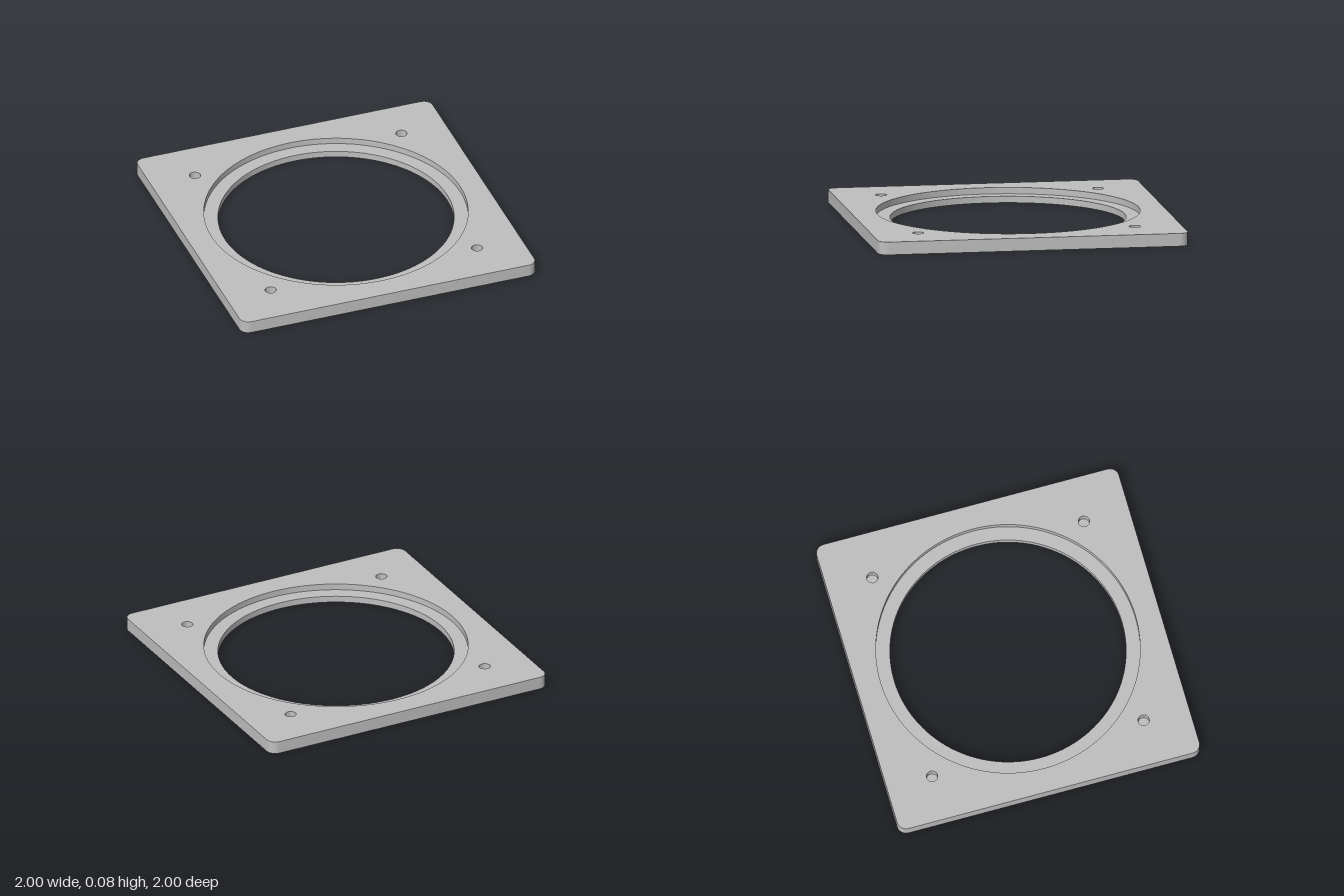
import * as THREE from 'three';
import { toCreasedNormals } from 'three/addons/utils/BufferGeometryUtils.js';

const HALF = 1, CORNER = 0.06, TOP = 0.083, LEDGE = 0.042;
const BORE = 0.752, RECESS = 0.842;
const SCREW = { radius: 0.036, offset: 0.7, floor: 0.03 };

// Points of an arc, as Vector2s
function arc(cx, cy, r, start, sweep, n) {
  return Array.from({ length: n }, (_, i) => {
    const a = start + (sweep * i) / n;
    return new THREE.Vector2(cx + r * Math.cos(a), cy + r * Math.sin(a));
  });
}
const circle = (cx, cy, r, n) => new THREE.Path(arc(cx, cy, r, 0, Math.PI * 2, n));

// Counter-clockwise square with rounded corners
function outlinePoints() {
  const c = HALF - CORNER, n = 10, pts = [];
  [[1, 1], [-1, 1], [-1, -1], [1, -1]].forEach(([sx, sy], k) => {
    const start = (k * Math.PI) / 2;
    pts.push(...arc(sx * c, sy * c, CORNER, start, Math.PI / 2, n));
    pts.push(new THREE.Vector2(sx * c + CORNER * Math.cos(start + Math.PI / 2),
      sy * c + CORNER * Math.sin(start + Math.PI / 2)));
  });
  return pts;
}

// Vertical wall following the outline
function wallGeometry(pts) {
  const pos = [];
  pts.forEach((p, i) => {
    const q = pts[(i + 1) % pts.length];
    const a = [p.x, 0, -p.y], b = [q.x, 0, -q.y], c = [q.x, TOP, -q.y], d = [p.x, TOP, -p.y];
    pos.push(...a, ...b, ...c, ...a, ...c, ...d);
  });
  const geo = new THREE.BufferGeometry();
  geo.setAttribute('position', new THREE.Float32BufferAttribute(pos, 3));
  return toCreasedNormals(geo, 0.6);
}

// Lathe from [radius, height] pairs; descending profiles face the axis
const turned = (profile, n) => toCreasedNormals(
  new THREE.LatheGeometry(profile.map(([r, y]) => new THREE.Vector2(r, y)), n), 0.6);

export function createModel() {
  const group = new THREE.Group();
  group.name = 'mountingPlate';
  const grey = new THREE.MeshStandardMaterial({ color: 0xbfbfbf });
  grey.name = 'plain grey';
  const add = (name, geo, x = 0, z = 0) => {
    const mesh = new THREE.Mesh(geo, grey);
    mesh.name = name;
    mesh.position.set(x, 0, z);
    group.add(mesh);
  };

  const outline = outlinePoints();
  const corners = [[1, 1], [-1, 1], [-1, -1], [1, -1]]
    .map(([x, z]) => [x * SCREW.offset, z * SCREW.offset]);

  // Top face, pierced by the recess and the screw holes
  const top = new THREE.Shape(outline);
  top.holes.push(circle(0, 0, RECESS, 128));
  corners.forEach(([x, z]) => top.holes.push(circle(x, z, SCREW.radius, 32)));
  add('topFace', new THREE.ShapeGeometry(top).rotateX(-Math.PI / 2).translate(0, TOP, 0));

  // Bottom face, pierced only by the bore
  const bottom = new THREE.Shape(outline);
  bottom.holes.push(circle(0, 0, BORE, 128));
  add('bottomFace', new THREE.ShapeGeometry(bottom).rotateX(Math.PI / 2));

  add('outerWall', wallGeometry(outline));

  // Stepped bore: recess wall, ledge, through hole
  add('steppedBore', turned([[RECESS, TOP], [RECESS, LEDGE], [BORE, LEDGE], [BORE, 0]], 128));

  // Blind screw holes
  const hole = turned([[SCREW.radius, TOP], [SCREW.radius, SCREW.floor], [0, SCREW.floor]], 32);
  corners.forEach(([x, z]) => add('screwHole', hole, x, z));

  return group;
}
